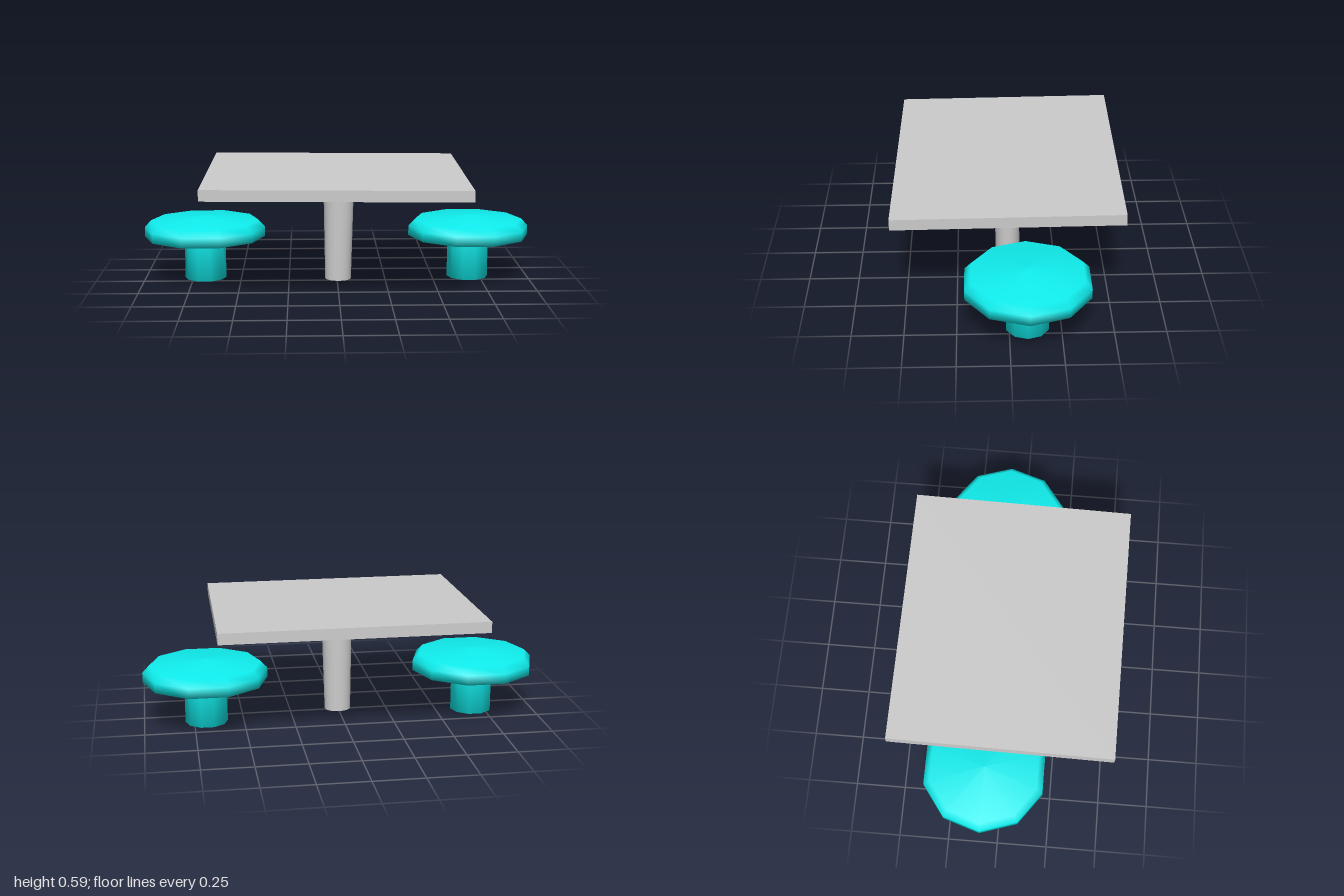
import * as THREE from 'three';

const grey = new THREE.MeshStandardMaterial({ color: 0xcccccc });
const cyan = new THREE.MeshStandardMaterial({ color: 0x10eeee });

function part(name, geometry, material) {
  const mesh = new THREE.Mesh(geometry, material);
  mesh.name = name;
  return mesh;
}

// Ten-sided turned shape with corners on the x axis
function turned(profile) {
  const points = profile.map(([r, y]) => new THREE.Vector2(r, y));
  return new THREE.LatheGeometry(points, 10, Math.PI / 2);
}

function createStool(name, x) {
  const stool = new THREE.Group();
  stool.name = name;
  stool.add(part('stoolStem', turned([[0, 0], [0.107, 0], [0.107, 0.22]]), cyan));
  stool.add(part('stoolSeat', turned([
    [0.107, 0.22], [0.3125, 0.22], [0.3125, 0.27], [0.28, 0.305], [0, 0.33],
  ]), cyan));
  stool.position.set(x, 0, -0.087);
  return stool;
}

function createTable() {
  const table = new THREE.Group();
  table.name = 'table';
  table.add(part('tableTop', new THREE.BoxGeometry(1.3, 0.055, 1.1), grey));

  // Tapered leg, slightly oval: rounder at the foot than at the top
  const height = 0.515;
  const legGeometry = new THREE.CylinderGeometry(0.079, 0.067, height, 20);
  const p = legGeometry.attributes.position;
  for (let i = 0; i < p.count; i++) {
    const t = p.getY(i) / height + 0.5;
    p.setZ(i, p.getZ(i) * THREE.MathUtils.lerp(0.925, 0.83, t));
  }
  legGeometry.computeVertexNormals();
  const leg = part('tableLeg', legGeometry, grey);
  leg.position.set(0.018, -0.0265 - height / 2, 0.001);
  table.add(leg);

  // The whole table leans a little
  table.position.set(-0.01, 0.551, -0.003);
  table.rotation.set(0.017, -0.01, -0.006);
  return table;
}

export function createModel() {
  const model = new THREE.Group();
  model.name = 'tableWithStools';
  model.add(createTable());
  model.add(createStool('leftStool', 0.6875));
  model.add(createStool('rightStool', -0.6875));
  return model;
}
